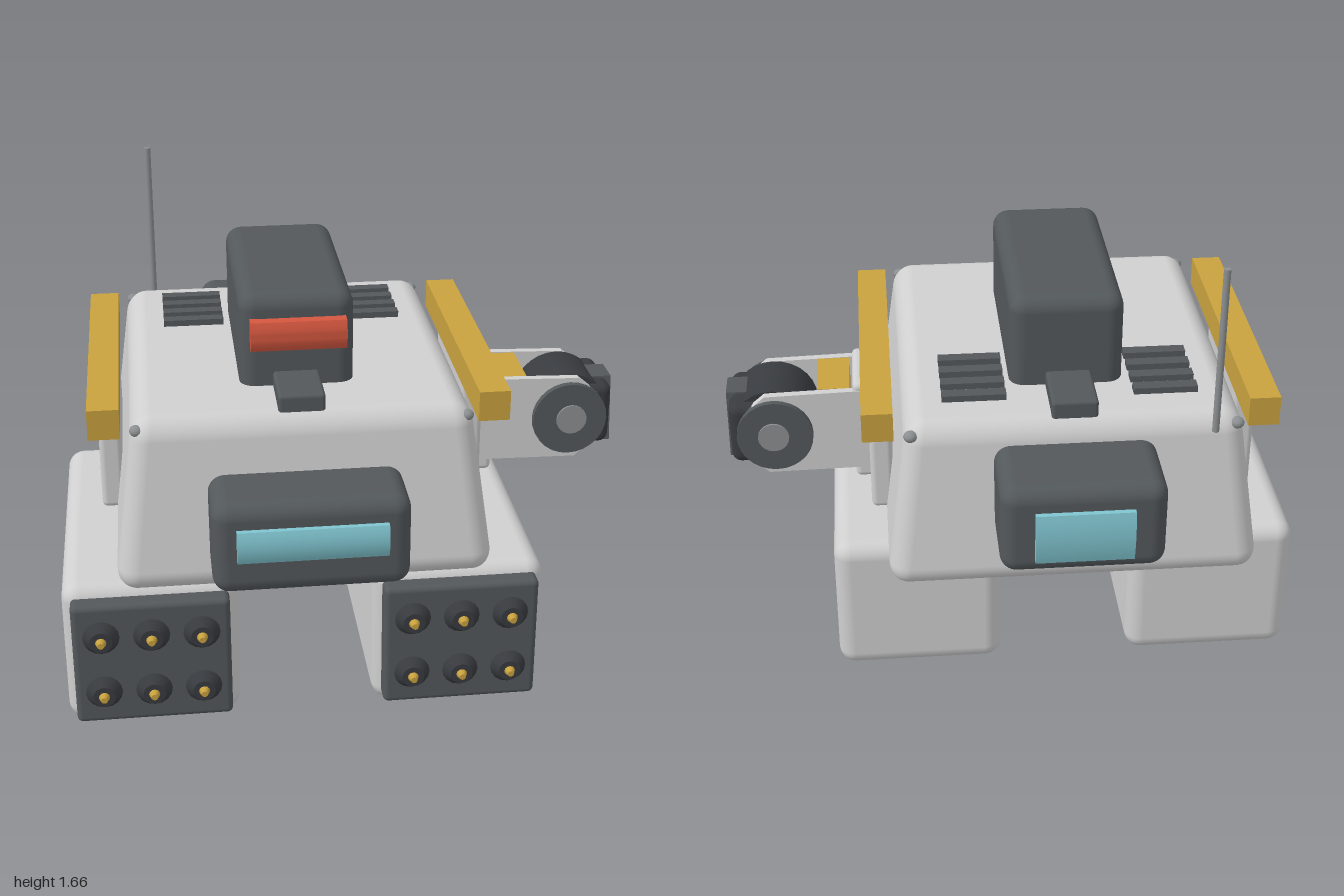
import * as THREE from 'three';
import { RoundedBoxGeometry } from 'three/addons/geometries/RoundedBoxGeometry.js';
import { toCreasedNormals } from 'three/addons/utils/BufferGeometryUtils.js';

const mat = (name, color) => {
  const m = new THREE.MeshStandardMaterial({ color });
  m.name = name;
  return m;
};

export function createModel() {
  const root = new THREE.Group();
  root.name = 'walkerRobot';
  const light = mat('lightGrey', 0xcfcfcf);
  const dark = mat('darkGrey', 0x53585b);
  const black = mat('charcoal', 0x383b3f);
  const gold = mat('gold', 0xc9a23f);
  const cyan = mat('cyanGlass', 0x80c4cf);
  const red = mat('redGlass', 0xd4573f);
  const metal = mat('metalGrey', 0x8c8f91);
  const CX = -0.18; // centre line of the body

  const add = (name, geo, material, x = 0, y = 0, z = 0, parent = root) => {
    const m = new THREE.Mesh(geo, material);
    m.name = name;
    m.position.set(x, y, z);
    parent.add(m);
    return m;
  };
  // box given by its limits, with optional rounded edges
  const box = (name, material, x0, x1, y0, y1, z0, z1, r = 0, parent = root) => {
    const s = [x1 - x0, y1 - y0, z1 - z0];
    const geo = r ? new RoundedBoxGeometry(...s, 4, r) : new THREE.BoxGeometry(...s);
    return add(name, geo, material, (x0 + x1) / 2, (y0 + y1) / 2, (z0 + z1) / 2, parent);
  };
  // narrow a rounded box towards the top, keeping its normals true
  const taper = (geo, k, h) => {
    const p = geo.attributes.position, n = geo.attributes.normal;
    const v = new THREE.Vector3();
    for (let i = 0; i < p.count; i++) {
      const x = p.getX(i), y = p.getY(i), z = p.getZ(i);
      const s = 1 - k * (y / h + 0.5), ds = -k / h;
      p.setXYZ(i, x * s, y, z * s);
      v.fromBufferAttribute(n, i);
      v.set(v.x / s, v.y - (x * v.x + z * v.z) * ds / s, v.z / s).normalize();
      n.setXYZ(i, v.x, v.y, v.z);
    }
    return geo;
  };
  // lens strip with a gently bulging front face, extruded along x
  const lens = (name, material, x, y, z, w, h, depth, back = false) => {
    const b = 0.012;
    const s = new THREE.Shape();
    s.moveTo(0, -h / 2);
    s.lineTo(depth - b, -h / 2);
    s.quadraticCurveTo(depth + b, 0, depth - b, h / 2);
    s.lineTo(0, h / 2);
    const geo = new THREE.ExtrudeGeometry(s, { depth: w, bevelEnabled: false, curveSegments: 10 });
    geo.translate(0, 0, -w / 2);
    geo.rotateY(back ? Math.PI / 2 : -Math.PI / 2);
    return add(name, toCreasedNormals(geo, 0.5), material, x, y, z);
  };

  // hull
  const hull = taper(new RoundedBoxGeometry(1.27, 0.59, 1.43, 5, 0.075), 0.125, 0.59);
  add('hull', hull, light, CX, 0.825, 0.015);
  box('pelvis', dark, -0.6, 0.24, 0.37, 0.58, -0.3, 0.28, 0.03);

  // side plates, roof rails, vents, bolts
  for (const s of [-1, 1]) {
    const plate = box('sidePlate', light, -0.04, 0.04, 0.59, 1.03, -0.28, 0.205, 0.02);
    plate.position.x = CX + s * 0.638;
    const rail = box('roofRail', gold, -0.0525, 0.0525, 1.02, 1.125, -0.53, 0.55);
    rail.position.x = CX + s * 0.647;
    for (let i = 0; i < 4; i++) {
      const x = CX + s * 0.322, z = -0.44 + i * 0.082;
      box('roofVent', dark, x - 0.108, x + 0.108, 1.1, 1.142, z - 0.022, z + 0.022);
    }
    for (const z of [-0.595, 0.61]) {
      const bolt = add('cornerBolt', new THREE.SphereGeometry(0.024, 12, 8), metal, CX + s * 0.54, 1.075, z);
      bolt.scale.y = 0.8;
    }
  }

  // front and rear visors
  box('frontVisor', dark, -0.5, 0.14, 0.61, 0.93, 0.55, 0.905, 0.055);
  lens('frontLens', cyan, CX, 0.795, 0.895, 0.485, 0.11, 0.04);
  box('rearVisor', dark, -0.45, 0.09, 0.72, 1.04, -0.905, -0.55, 0.055);
  lens('rearLens', cyan, CX, 0.87, -0.895, 0.32, 0.18, 0.04, true);

  // roof turret, spine and antenna
  box('turret', dark, -0.37, 0.015, 1.05, 1.44, -0.37, 0.4, 0.055);
  lens('turretLens', red, -0.175, 1.31, 0.385, 0.32, 0.1, 0.065);
  box('roofSpine', dark, -0.26, -0.105, 1.1, 1.17, -0.58, 0.605, 0.012);
  add('antenna', new THREE.CylinderGeometry(0.012, 0.012, 0.59, 12), metal, -0.64, 1.365, -0.635);

  // foot pods with their rocket racks
  const collar = new THREE.CylinderGeometry(0.038, 0.063, 0.035, 16).rotateX(Math.PI / 2);
  const tip = new THREE.CylinderGeometry(0.011, 0.026, 0.04, 12).rotateX(Math.PI / 2);
  for (const s of [-1, 1]) {
    const pod = new THREE.Group();
    pod.name = 'footPod';
    pod.position.x = CX + s * 0.525;
    root.add(pod);
    box('podShell', light, -0.295, 0.295, 0, 0.53, -0.44, 0.665, 0.06, pod);
    box('rocketPanel', dark, -0.265, 0.265, 0.038, 0.492, 0.63, 0.72, 0.02, pod);
    for (const y of [0.16, 0.373]) {
      for (const dx of [-0.168, 0, 0.168]) {
        add('rocketCollar', collar, black, dx, y, 0.736, pod);
        add('rocketTip', tip, gold, dx, y, 0.754, pod);
      }
    }
  }

  // arm on the left side
  const arm = new THREE.Group();
  arm.name = 'arm';
  root.add(arm);
  box('armMount', light, 0.45, 0.55, 0.63, 1.015, -0.135, 0.145, 0.02, arm);
  const side = new THREE.Shape([[0.5, 0.675], [0.86, 0.67], [0.93, 0.74], [0.93, 0.92], [0.86, 0.98], [0.5, 0.99]]
    .map(([x, y]) => new THREE.Vector2(x, y)));
  const sideGeo = new THREE.ExtrudeGeometry(side, { depth: 0.028, bevelEnabled: false });
  for (const z of [-0.138, 0.118]) add('armSidePlate', sideGeo, light, 0, 0, z, arm);
  box('armBlock', gold, 0.56, 0.675, 0.9, 0.985, -0.105, 0.118, 0, arm);
  const pin = new THREE.CylinderGeometry(0.035, 0.035, 0.12, 14).rotateZ(Math.PI / 2);
  add('armPin', pin, metal, 0.565, 0.665, 0.015, arm);

  // wrist hub, end caps and outer tool block
  const hub = new THREE.CylinderGeometry(0.152, 0.152, 0.22, 28).rotateX(Math.PI / 2);
  add('wristHub', hub, black, 0.835, 0.83, 0.008, arm);
  const disc = new THREE.CylinderGeometry(0.135, 0.135, 0.33, 28).rotateX(Math.PI / 2);
  add('wristDisc', disc, dark, 0.83, 0.83, 0.005, arm);
  const cap = new THREE.CylinderGeometry(0.055, 0.055, 0.345, 20).rotateX(Math.PI / 2);
  add('wristCap', cap, metal, 0.835, 0.83, 0.005, arm);
  box('toolBlock', black, 0.8, 0.99, 0.71, 0.945, -0.14, 0.14, 0.035, arm);
  const wedge = new THREE.Shape([[-0.09, -0.12], [0.09, -0.12], [0.055, 0.12], [-0.055, 0.12]]
    .map(([x, y]) => new THREE.Vector2(x, y)));
  const wedgeGeo = new THREE.ExtrudeGeometry(wedge, { depth: 0.12, bevelEnabled: false }).rotateY(Math.PI / 2);
  add('toolWedge', wedgeGeo, dark, 0.88, 0.83, 0.015, arm);

  return root;
}
